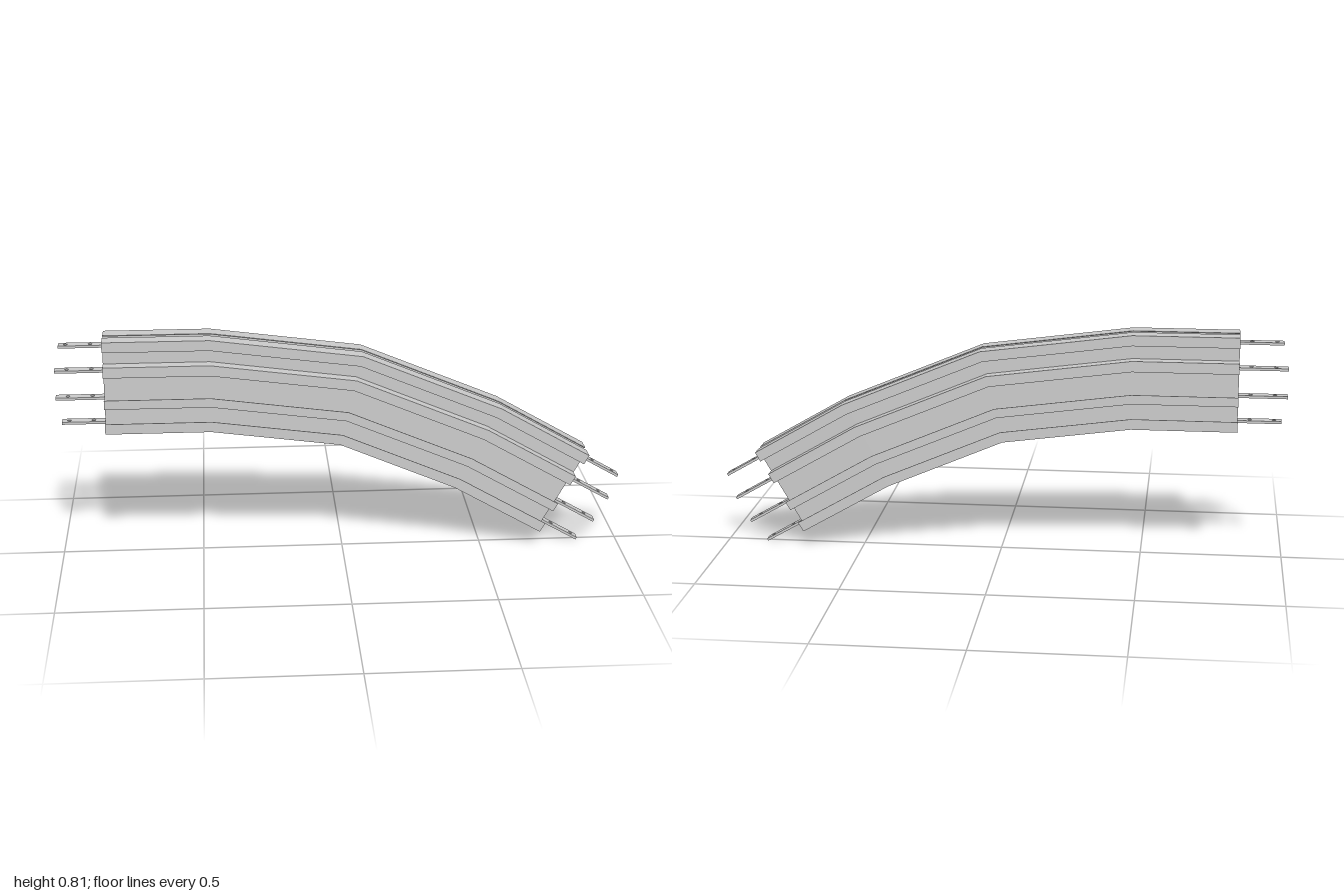
import * as THREE from 'three';

// Upper and lower edges of the bent run, station by station (x, y)
const TOP = [[-0.83, 0.81], [-0.46, 0.81], [0.07, 0.74], [0.56, 0.535], [0.88, 0.35]];
const BOTTOM = [[-0.83, 0.475], [-0.46, 0.475], [-0.01, 0.415], [0.40, 0.24], [0.712, 0.06]];
const DEPTH = 0.335;
const SHEET = 0.003;
const BAR = 0.009;
const material = new THREE.MeshStandardMaterial({ color: 0xcccccc, flatShading: true });

// Point at a station, a given depth below the top edge
function pointAt(station, depth) {
  const [ax, ay] = TOP[station], [bx, by] = BOTTOM[station], t = depth / DEPTH;
  return [ax + (bx - ax) * t, ay + (by - ay) * t];
}

// Strip with a rectangular section, bent along the run
function bentStrip(name, z0, z1, d0, d1) {
  const box = new THREE.BoxGeometry(1, 1, 1, TOP.length - 1, 1, 1);
  const pos = box.attributes.position;
  for (let i = 0; i < pos.count; i++) {
    const station = Math.round((pos.getX(i) + 0.5) * (TOP.length - 1));
    const [x, y] = pointAt(station, pos.getY(i) > 0 ? d0 : d1);
    pos.setXYZ(i, x, y, pos.getZ(i) > 0 ? z1 : z0);
  }
  const geometry = box.toNonIndexed();
  geometry.computeVertexNormals();
  const mesh = new THREE.Mesh(geometry, material);
  mesh.name = name;
  return mesh;
}

// Flat bar end with two bolt holes, pointing along +x
function barEnd(length) {
  const w = 0.018;
  const shape = new THREE.Shape([[0, -w], [length, -w], [length, w], [0, w]].map(p => new THREE.Vector2(...p)));
  for (const x of [0.042, 0.127]) {
    shape.holes.push(new THREE.Path().absarc(x, 0, 0.007, 0, Math.PI * 2, true));
  }
  const geometry = new THREE.ExtrudeGeometry(shape, { depth: BAR, bevelEnabled: false, curveSegments: 10 });
  geometry.translate(0, 0, -BAR / 2).rotateX(-Math.PI / 2);
  const mesh = new THREE.Mesh(geometry, material);
  mesh.name = 'barEnd';
  return mesh;
}

// One formed side sheet: webs, flanges and turned lips
function sideSheet(side) {
  const group = new THREE.Group();
  group.name = side > 0 ? 'frontSheet' : 'backSheet';
  const inner = 0.021, outer = 0.069, s = SHEET, upper = 0.091, lower = 0.244;
  const strips = [
    ['topFlange', 0.012, outer, 0, s],
    ['topLip', outer - s, outer, s, 0.037],
    ['web', inner, inner + s, s, DEPTH - s],
    ['upperFlange', inner + s, outer, upper, upper + s],
    ['upperLip', outer - s, outer, upper + s, 0.129],
    ['lowerFlange', inner + s, outer, lower - s, lower],
    ['lowerLip', outer - s, outer, 0.211, lower - s],
    ['bottomFlange', 0.012, outer, DEPTH - s, DEPTH],
    ['bottomLip', outer - s, outer, DEPTH - 0.037, DEPTH - s],
  ];
  for (const [name, z0, z1, d0, d1] of strips) {
    group.add(side > 0 ? bentStrip(name, z0, z1, d0, d1) : bentStrip(name, -z1, -z0, d0, d1));
  }
  return group;
}

// Conductor bar through the run, with a drilled end on each side
function conductorBar(depth, length) {
  const group = new THREE.Group();
  group.name = 'conductorBar';
  group.add(bentStrip('barBody', -0.018, 0.018, depth - BAR / 2, depth + BAR / 2));
  const last = TOP.length - 1;
  const left = barEnd(length), right = barEnd(length);
  left.position.set(...pointAt(0, depth), 0);
  left.rotation.y = Math.PI;
  right.position.set(...pointAt(last, depth), 0);
  right.rotation.z = Math.atan2(TOP[last][1] - TOP[last - 1][1], TOP[last][0] - TOP[last - 1][0]);
  group.add(left, right);
  return group;
}

export function createModel() {
  const model = new THREE.Group();
  model.name = 'bentConductorRail';
  for (const side of [1, -1]) model.add(sideSheet(side));
  for (const [depth, length] of [[0.029, 0.152], [0.12, 0.17], [0.219, 0.17], [0.309, 0.152]]) {
    model.add(conductorBar(depth, length));
  }
  return model;
}
